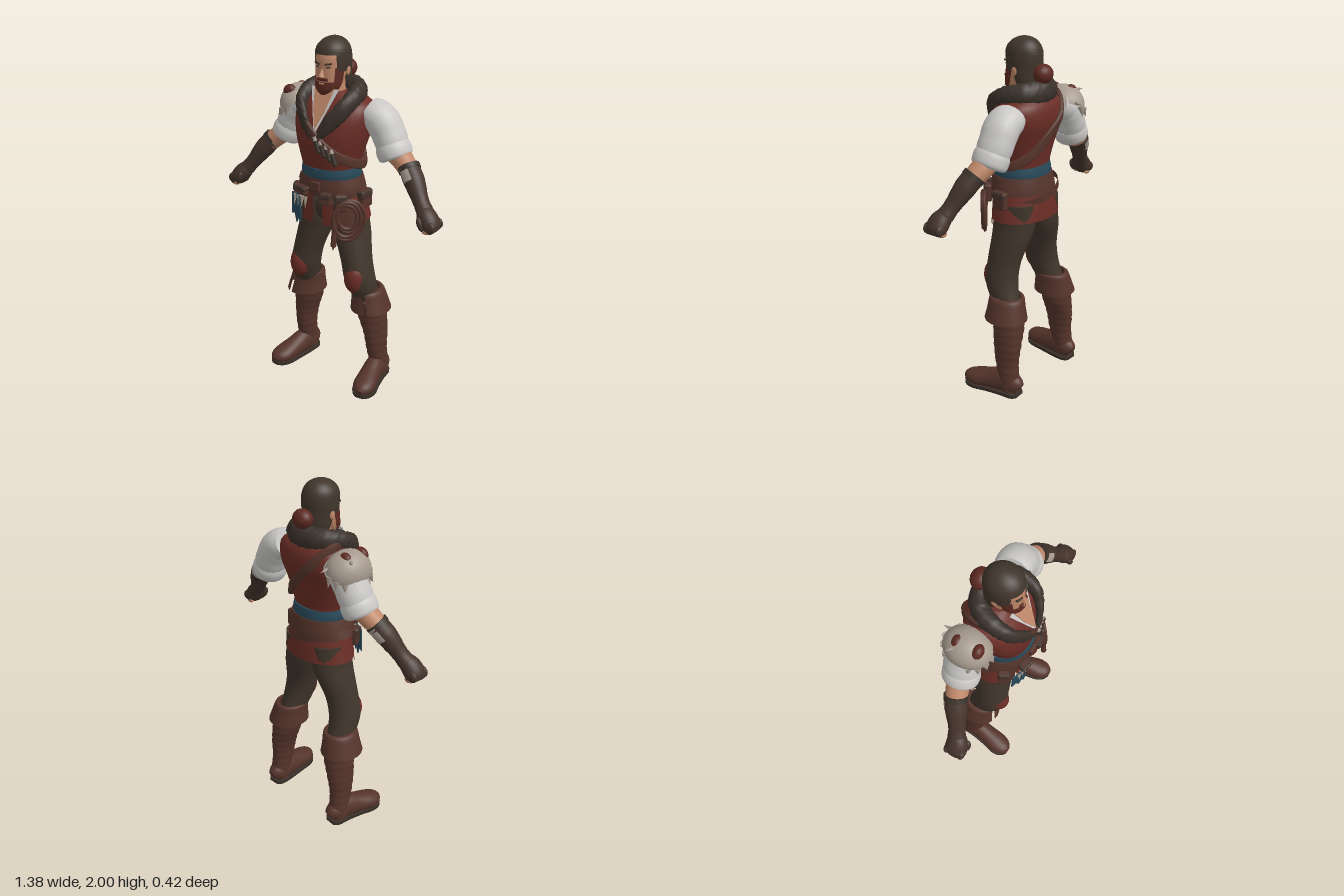
import * as THREE from 'three';
import { RoundedBoxGeometry } from 'three/addons/geometries/RoundedBoxGeometry.js';

const V = (x, y, z) => new THREE.Vector3(x, y, z);
const PI = Math.PI, FRONT = -PI / 2;
const COLORS = {
  vestRed: 0x6a2d25, leather: 0x55342b, darkCloth: 0x40352b, furBrown: 0x3a312a, gloveBrown: 0x44332b,
  skin: 0xbf8768, linen: 0xc9c8c6, sashBlue: 0x28495a, bone: 0xa79b8f, beardRed: 0x5c2a21,
};

// Elliptical cross-sections [x, y, z, ru, rv], smoothly interpolated along their path.
// ref: direction of rv (vector, or 'radial' for outward from the body axis).
function loft(sections, o = {}) {
  const { n = 24, sub = 4, flat = false, ref = V(0, 0, -1), a0 = 0, a1 = 2 * PI, p = 2,
    ripple = 0, freq = 100, fur = 0, minY = -9, maxY = 9 } = o;
  const full = a1 - a0 > 6.28, caps = o.caps ?? full;
  const m = (sections.length - 1) * sub, rows = [];
  for (let i = 0; i <= m; i++) {
    const k = Math.min(Math.floor(i / sub), sections.length - 2), t = i / sub - k;
    const s = j => sections[Math.max(0, Math.min(sections.length - 1, j))];
    rows.push(sections[0].map((_, c) => {
      const [A, B, C, D] = [s(k - 1)[c], s(k)[c], s(k + 1)[c], s(k + 2)[c]];
      return B + 0.5 * t * (C - A + t * (2 * A - 5 * B + 4 * C - D + t * (3 * (B - C) + D - A)));
    }));
  }
  const pos = [], idx = [], w = n + 1;
  let seed = 7;
  const rnd = () => (seed = (seed * 16807) % 2147483647) / 2147483647;
  const ctr = rows.map(r => V(r[0], r[1], r[2]));
  rows.forEach((r, i) => {
    const d = flat ? V(0, 1, 0) : ctr[Math.min(m, i + 1)].clone().sub(ctr[Math.max(0, i - 1)]).normalize();
    const v = ref === 'radial' ? V(r[0], 0, r[2]) : ref.clone();
    v.addScaledVector(d, -v.dot(d)).normalize();
    const u = v.clone().cross(d), wob = 1 + ripple * Math.sin(r[1] * freq);
    for (let j = 0; j <= n; j++) {
      const a = a0 + (a1 - a0) * j / n, c = Math.cos(a), s = Math.sin(a);
      const f = wob * (1 + (j < n ? fur * (rnd() - 0.5) : 0));
      const q = ctr[i].clone()
        .addScaledVector(u, Math.sign(c) * Math.abs(c) ** (2 / p) * r[3] * f)
        .addScaledVector(v, Math.sign(s) * Math.abs(s) ** (2 / p) * r[4] * f);
      q.y = Math.min(maxY, Math.max(minY, q.y));
      pos.push(q.x, q.y, q.z);
      if (i < m && j < n) {
        const k = i * w + j;
        const e = full && j === n - 1 ? i * w : k + 1;
        idx.push(k, e, k + w, e, e + w, k + w);
      }
    }
  });
  if (caps) for (const i of [0, m]) {
    const base = pos.length / 3;
    for (let j = 0; j <= n; j++) pos.push(...pos.slice((i * w + j) * 3, (i * w + j) * 3 + 3));
    pos.push(ctr[i].x, Math.min(maxY, Math.max(minY, ctr[i].y)), ctr[i].z);
    for (let j = 0; j < n; j++) idx.push(...(i ? [base + j, base + j + 1, base + w] : [base + j + 1, base + j, base + w]));
  }
  const g = new THREE.BufferGeometry();
  g.setAttribute('position', new THREE.Float32BufferAttribute(pos, 3));
  g.setIndex(idx);
  g.computeVertexNormals();
  return g;
}

export function createModel() {
  const root = new THREE.Group(), M = {};
  for (const [name, color] of Object.entries(COLORS)) {
    M[name] = new THREE.MeshStandardMaterial({ color, side: THREE.DoubleSide });
    M[name].name = name;
  }
  const add = (name, geo, mat, at = [0, 0, 0], rot = [0, 0, 0], scale = [1, 1, 1]) => {
    const mesh = new THREE.Mesh(geo, M[mat]);
    mesh.name = name;
    mesh.position.set(...at); mesh.rotation.set(...rot); mesh.scale.set(...scale);
    root.add(mesh);
    return mesh;
  };
  const ball = (name, mat, at, scale, rot) => add(name, new THREE.SphereGeometry(1, 24, 16), mat, at, rot, scale);
  const box = (name, mat, at, size, rot) => add(name, new RoundedBoxGeometry(...size, 2, Math.min(...size) * 0.3), mat, at, rot);
  const plate = (name, mat, pts, at, rot) => add(name, new THREE.ExtrudeGeometry(
    new THREE.Shape(pts.map(q => new THREE.Vector2(...q))), { depth: 0.006, bevelEnabled: false }), mat, at, rot);
  const spike = (name, mat, from, to, r) => {
    const a = V(...from), d = V(...to).sub(a), mesh = add(name, new THREE.ConeGeometry(r, d.length(), 8), mat);
    mesh.position.copy(a).addScaledVector(d, 0.5);
    mesh.quaternion.setFromUnitVectors(V(0, 1, 0), d.normalize());
  };
  const F = { flat: true };
  // rows given as [y, halfWidth, frontZ, backZ]
  const body = rows => rows.map(([y, w, f, b]) => [0, y, (f + b) / 2, w, (f - b) / 2]);

  // Torso and waist
  add('vest', loft(body([[1.2, .165, .15, -.13], [1.3, .155, .155, -.12], [1.38, .175, .165, -.13], [1.47, .203, .168, -.15],
    [1.56, .222, .152, -.178], [1.63, .222, .118, -.175], [1.675, .185, .08, -.155], [1.72, .085, .05, -.11]]), { ...F, n: 36, p: 2.3 }), 'vestRed');
  add('sash', loft(body([[1.255, .168, .163, -.137], [1.285, .17, .168, -.137], [1.32, .164, .166, -.132]]), { ...F, n: 36 }), 'sashBlue');
  add('belt', loft(body([[1.17, .198, .168, -.156], [1.21, .192, .172, -.152], [1.265, .176, .166, -.142]]), { ...F, n: 36 }), 'leather');
  add('lowerBelt', loft([[-.02, 1.135, 0, .212, .162], [-.01, 1.18, 0, .206, .164]], { n: 36, a0: 0.1, a1: 3.3 }), 'leather');
  const skirt = body([[1.0, .222, .155, -.168], [1.1, .205, .155, -.16], [1.22, .18, .15, -.142]]);
  add('coatSkirt', loft(skirt.map((r, i) => [r[0], i ? r[1] : 1.025, ...r.slice(2)]), { ...F, a0: -0.5, a1: PI + 0.5, n: 32 }), 'vestRed');
  for (const [a, b, mat, y] of [[-2.6, -2.15, 'leather', .99], [-2.1, -1.72, 'vestRed', 1.0], [-1.42, -1.1, 'vestRed', 1.0], [-1.05, -.5, 'leather', .99]])
    add('skirtPanel', loft(skirt.map((r, i) => [r[0], i ? r[1] : y, ...r.slice(2)]), { ...F, a0: a, a1: b, n: 8 }), mat);
  ball('hips', 'darkCloth', [0, 1.08, -.01], [.17, .12, .12]);
  box('buckle', 'leather', [0, 1.225, .172], [.06, .05, .02]);

  // Open neckline, neck and collar
  const tilt = [-0.44, 0, 0];
  plate('shirtNeckline', 'linen', [[-.085, .22], [0, -.03], [.085, .22]], [0, 1.54, .166], tilt);
  plate('bareChest', 'skin', [[-.06, .22], [-.035, .1], [0, 0], [.035, .1], [.06, .22]], [0, 1.54, .173], tilt);
  add('neck', loft([[0, 1.6, -.02, .08, .08], [0, 1.7, -.005, .065, .065], [0, 1.8, .0, .06, .06]], F), 'skin');
  const half = [[.02, 1.49, .175, .012, .015], [.08, 1.575, .155, .02, .04], [.135, 1.65, .1, .032, .05], [.142, 1.7, .01, .045, .055], [.1, 1.715, -.08, .05, .062]];
  const flip = half.map(([x, ...r]) => [-x, ...r]).reverse();
  add('furCollar', loft([...half, [0, 1.72, -.118, .05, .066], ...flip], { ref: V(0, 1, 0), sub: 8, n: 18, fur: .16 }), 'furBrown');

  // Head
  add('head', loft([[0, 1.71, .06, .04, .035], [0, 1.735, .05, .06, .055], [0, 1.78, .03, .074, .072], [0, 1.84, .012, .08, .09],
    [0, 1.9, .005, .082, .095], [0, 1.96, 0, .065, .075]], { ...F, n: 32 }), 'skin');
  add('hairTop', loft([[0, 1.915, 0, .093, .104], [0, 1.95, 0, .083, .093], [0, 1.98, -.003, .057, .066], [0, 1.995, -.005, .027, .033], [0, 2, -.005, .004, .004]], { ...F, n: 32 }), 'darkCloth');
  add('hairSides', loft([[0, 1.83, -.004, .093, .097], [0, 1.88, -.002, .095, .102], [0, 1.925, 0, .092, .102]],
    { ...F, a0: FRONT + .8, a1: FRONT + 2 * PI - .8 }), 'darkCloth');
  add('hairBack', loft([[0, 1.74, -.03, .078, .06], [0, 1.78, -.018, .088, .082], [0, 1.84, -.004, .093, .098]],
    { ...F, a0: -.1, a1: PI + .1 }), 'darkCloth');
  ball('hairBun', 'beardRed', [0, 1.815, -.125], [.058, .052, .05]);
  add('beard', loft([[0, 1.705, .062, .035, .038], [0, 1.735, .052, .065, .06], [0, 1.775, .033, .079, .076]],
    { ...F, a0: FRONT - 1.6, a1: FRONT + 1.6, caps: true }), 'beardRed');
  box('mouth', 'skin', [0, 1.768, .109], [.03, .008, .008]);
  box('moustache', 'beardRed', [0, 1.789, .1], [.064, .016, .022]);
  add('nose', new THREE.ConeGeometry(.017, .055, 8), 'skin', [0, 1.828, .103], [-.25, 0, 0], [1, 1, 1.1]);
  for (const s of [-1, 1]) {
    add('sideburn', loft([[0, 1.77, .033, .079, .076], [0, 1.85, .012, .083, .092]],
      { ...F, a0: FRONT + s * 1.2 - .35, a1: FRONT + s * 1.2 + .35, n: 8 }), 'beardRed');
    box('eyebrow', 'darkCloth', [s * .033, 1.869, .095], [.038, .009, .014], [0, s * .35, s * .15]);
    box('eye', 'furBrown', [s * .032, 1.852, .093], [.022, .008, .01], [0, s * .35, 0]);
    ball('ear', 'skin', [s * .088, 1.83, -.005], [.01, .026, .018]);
  }

  // Limbs
  for (const s of [-1, 1]) {
    const side = rows => rows.map(([x, ...r]) => [s * x, ...r]);
    add('trouserLeg', loft(side([[.205, .54, -.035, .07, .085], [.19, .66, .01, .083, .098], [.165, .78, .01, .084, .1],
      [.125, .92, -.01, .096, .118], [.105, 1.0, -.012, .1, .126], [.1, 1.12, -.01, .1, .13]]), { ...F }), 'darkCloth');
    ball('kneePatch', 'vestRed', [s * .188, .685, .058], [.062, .092, .068]);
    add('bootShaft', loft(side([[.262, .03, -.105, .056, .056], [.26, .1, -.095, .054, .064], [.255, .2, -.078, .055, .074],
      [.248, .3, -.075, .064, .085], [.226, .42, -.068, .083, .092], [.218, .52, -.055, .084, .095]]), { ...F, sub: 8, ripple: .022, freq: 130 }), 'leather');
    const cuff = side([[.228, .465, -.05, .114, .126], [.219, .53, -.047, .1, .113], [.208, .585, -.042, .09, .103], [.205, .592, -.04, .07, .085]]);
    const slit = FRONT + s * .35;
    add('bootCuff', loft(cuff, { ...F, a0: slit + .09, a1: slit + 2 * PI - .09, n: 30 }), 'leather');
    const foot = side([[.255, .045, -.165, .03, .04], [.257, .06, -.135, .052, .065], [.263, .07, -.06, .056, .078], [.278, .058, .03, .06, .062],
      [.295, .045, .11, .066, .05], [.304, .038, .16, .052, .04], [.308, .03, .188, .022, .022]]);
    add('bootFoot', loft(foot, { ref: V(0, 1, 0), minY: .015 }), 'leather');
    add('bootSole', loft(foot.map(r => [r[0], .02, r[2], r[3] * 1.06, .06]), { ref: V(0, 1, 0), minY: 0, maxY: .02, p: 3 }), 'furBrown');

    add('sleeve', loft(side([[.19, 1.615, -.06, .075, .09], [.225, 1.6, -.064, .088, .1], [.268, 1.572, -.066, .09, .1], [.312, 1.5, -.066, .088, .098],
      [.345, 1.43, -.06, .084, .092]]), { ripple: .012, freq: 90 }), 'linen');
    add('rolledCuff', loft(side([[.325, 1.465, -.062, .084, .092], [.34, 1.438, -.06, .093, .1], [.36, 1.4, -.058, .09, .097], [.366, 1.388, -.057, .074, .08]])), 'linen');
    add('elbow', loft(side([[.345, 1.43, -.058, .06, .065], [.4, 1.395, -.05, .058, .062], [.475, 1.33, -.025, .05, .054]])), 'skin');
    const guard = side([[.45, 1.36, -.038, .053, .06], [.5, 1.3, -.012, .055, .058], [.555, 1.222, .018, .042, .046], [.595, 1.172, .036, .043, .048]]);
    add('gauntlet', loft(guard, { ripple: .02, freq: 150 }), 'gloveBrown');
    const outer = s > 0 ? 0 : PI;
    add('gauntletWear', loft(guard.slice(0, 2).map(r => [...r.slice(0, 3), r[3] + .004, r[4] + .004]), { a0: outer - 2.1, a1: outer - 1.2, n: 8 }), 'bone');
    add('gauntletRim', loft(side([[.445, 1.367, -.04, .058, .064], [.462, 1.347, -.032, .058, .064]])), 'furBrown');
    add('fist', loft(side([[.585, 1.185, .03, .038, .044], [.615, 1.15, .048, .05, .058], [.648, 1.11, .055, .046, .06], [.665, 1.085, .055, .026, .045]])), 'gloveBrown');
    for (let i = 0; i < 4; i++) {
      ball('knuckle', 'gloveBrown', [s * .66, 1.118, .012 + i * .028], [.026, .03, .017], [0, 0, s * .5]);
      ball('fingertip', 'skin', [s * .635, 1.09, .014 + i * .027], [.024, .015, .014]);
    }
    ball('thumb', 'gloveBrown', [s * .605, 1.125, .1], [.018, .04, .02], [0, 0, s * .4]);
  }

  // Strap across the chest and back, with vials
  const strap = [[-.16, 1.685, .03], [-.1, 1.6, .145], [0, 1.5, .174], [.1, 1.42, .158], [.178, 1.36, .07], [.175, 1.34, -.04], [.1, 1.4, -.126],
    [0, 1.5, -.168], [-.1, 1.6, -.17], [-.165, 1.685, -.09], [-.16, 1.685, .03]];
  add('chestStrap', loft(strap.map(q => [...q, .026, .013]), { ref: 'radial', n: 12, p: 4, sub: 6 }), 'leather');
  for (let i = 0; i < 4; i++) {
    const x = .025 + i * .03, y = 1.475 - i * .02, z = .186 - i * .007;
    add('vial', new THREE.CapsuleGeometry(.013, .055, 4, 10), 'furBrown', [x, y - .02, z], [0, 0, .35]);
    add('vialCap', new THREE.CylinderGeometry(.01, .013, .022, 10), 'bone', [x - .014, y + .02, z], [0, 0, .35]);
  }

  // Bone shoulder guard with teeth and sockets
  add('shoulderGuard', new THREE.SphereGeometry(1, 24, 12, 0, 2 * PI, 0, PI * .5), 'bone', [-.262, 1.595, -.06], [0, 0, .45], [.108, .115, .13]);
  for (const z of [-.1, .01]) ball('guardSocket', 'beardRed', [-.285, 1.672, z], [.04, .036, .03], [0, 0, .5]);
  for (let i = 0; i < 9; i++) {
    const a = PI * .5 + PI * i / 8, x = Math.cos(a), z = -Math.sin(a);
    spike('guardTooth', 'bone', [-.262 + x * .095, 1.6 + x * .045, -.06 + z * .125], [-.262 + x * .118, 1.545 + x * .02, -.06 + z * .14], .019);
  }
  spike('guardHorn', 'bone', [-.23, 1.63, -.15], [-.225, 1.62, -.215], .016);
  spike('guardHorn', 'bone', [-.32, 1.67, -.1], [-.355, 1.68, -.13], .016);

  // Belt gear: pouches, cloth, charms and coiled rope
  for (const [x, y, z, w, h, r] of [[.07, 1.165, .17, .06, .07, .25], [.145, 1.15, .14, .065, .1, .75], [-.085, 1.185, .17, .07, .05, -.3], [-.18, 1.14, .09, .06, .1, -1.1], [.208, 1.15, .0, .09, .1, 1.5]]) {
    box('pouch', 'leather', [x, y, z], [w, h, .04], [0, r, 0]);
    box('pouchFlap', 'gloveBrown', [x, y + h * .27, z + .004], [w * 1.08, h * .45, .046], [0, r, 0]);
  }
  plate('hangingCloth', 'sashBlue', [[-.045, .16], [.03, .17], [.05, .05], [.035, .0], [.02, .03], [0, -.01], [-.02, .04], [-.05, .03]], [-.135, .99, .158], [0, -.4, 0]);
  for (let i = 0; i < 4; i++) spike('boneCharm', 'bone', [-.14 + i * .025, 1.15, .162 + i * .004], [-.145 + i * .028, 1.085, .172 + i * .004], .012);
  for (let i = 0; i < 4; i++)
    add('ropeCoil', new THREE.TorusGeometry(.086 - i * .011, .0095, 8, 32), 'leather', [.188, 1.055 + i * .008, .13 + (i % 2) * .014], [0, .7, (i - 1.5) * .12], [1, 1.32, 1]);
  add('ropeHandle', new THREE.CylinderGeometry(.012, .016, .2, 10), 'leather', [.13, 1.01, .18], [-.08, 0, 0]);
  spike('ropeTip', 'leather', [.13, .93, .186], [.128, .885, .19], .016);
  return root;
}
